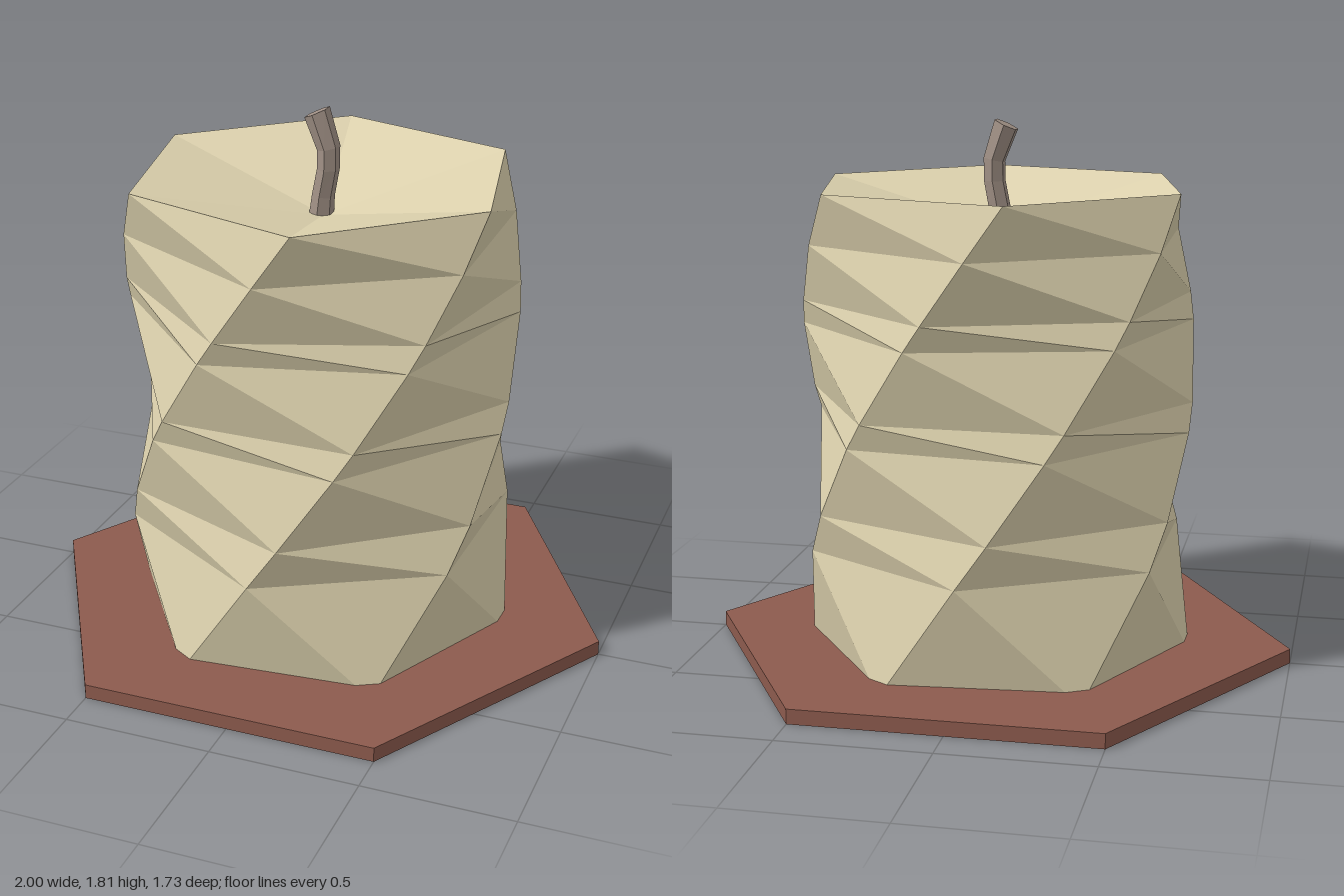
import * as THREE from 'three';

const v2 = (x, y) => new THREE.Vector2(x, y);

// Give a geometry hard facets
function faceted(geometry) {
  const g = geometry.toNonIndexed();
  g.computeVertexNormals();
  return g;
}

// Move every vertex by a rule
function reshape(geometry, rule) {
  const pos = geometry.attributes.position;
  const p = new THREE.Vector3();
  for (let i = 0; i < pos.count; i++) {
    p.fromBufferAttribute(pos, i);
    rule(p);
    pos.setXYZ(i, p.x, p.y, p.z);
  }
  return geometry;
}

function addPart(group, name, geometry, material) {
  const mesh = new THREE.Mesh(faceted(geometry), material);
  mesh.name = name;
  group.add(mesh);
}

export function createModel() {
  const group = new THREE.Group();
  group.name = 'twistedCandle';

  const wax = new THREE.MeshStandardMaterial({ color: 0xddd2ae });
  wax.name = 'cream wax';
  const clay = new THREE.MeshStandardMaterial({ color: 0x8c5a4d, side: THREE.DoubleSide });
  clay.name = 'red brown clay';
  const cord = new THREE.MeshStandardMaterial({ color: 0xa09085 });
  cord.name = 'grey brown cord';

  // Hexagonal plate, open underneath
  addPart(group, 'plate',
    new THREE.LatheGeometry([v2(1, 0), v2(1, 0.05), v2(0, 0.05)], 6, Math.PI / 2), clay);

  // Hexagonal candle with uneven bands, hollowed top, twisted evenly with height
  const radius = 0.655, top = 1.6;
  const levels = [0, 0.395, 0.54, 0.8, 0.89, 1.14, 1.225, 1.425, top];
  const profile = [v2(0, 0), ...levels.map((y) => v2(radius, y)), v2(0, 1.45)];
  const up = new THREE.Vector3(0, 1, 0);
  const twist = (p) => p.applyAxisAngle(up, THREE.MathUtils.degToRad(-25.3 + 61 * p.y));
  addPart(group, 'candle', reshape(new THREE.LatheGeometry(profile, 6), twist), wax);

  // Bent wick: height, sideways shift, radius and tilt of each ring
  const rings = [
    [1.42, -0.01, 0.048, 0],
    [1.52, 0.0, 0.042, -0.1],
    [1.61, 0.017, 0.042, 0],
    [1.68, 0.018, 0.042, 0.2],
    [1.795, -0.022, 0.046, 0.4],
  ];
  const last = rings.length - 1;
  const bend = (p) => {
    const [y, shift, r, tilt] = rings[Math.round((p.y + 0.5) * last)];
    p.set(shift + p.x * r * 0.88, y + p.x * r * tilt, p.z * r);
  };
  addPart(group, 'wick', reshape(new THREE.CylinderGeometry(1, 1, 1, 6, last), bend), cord);

  return group;
}
